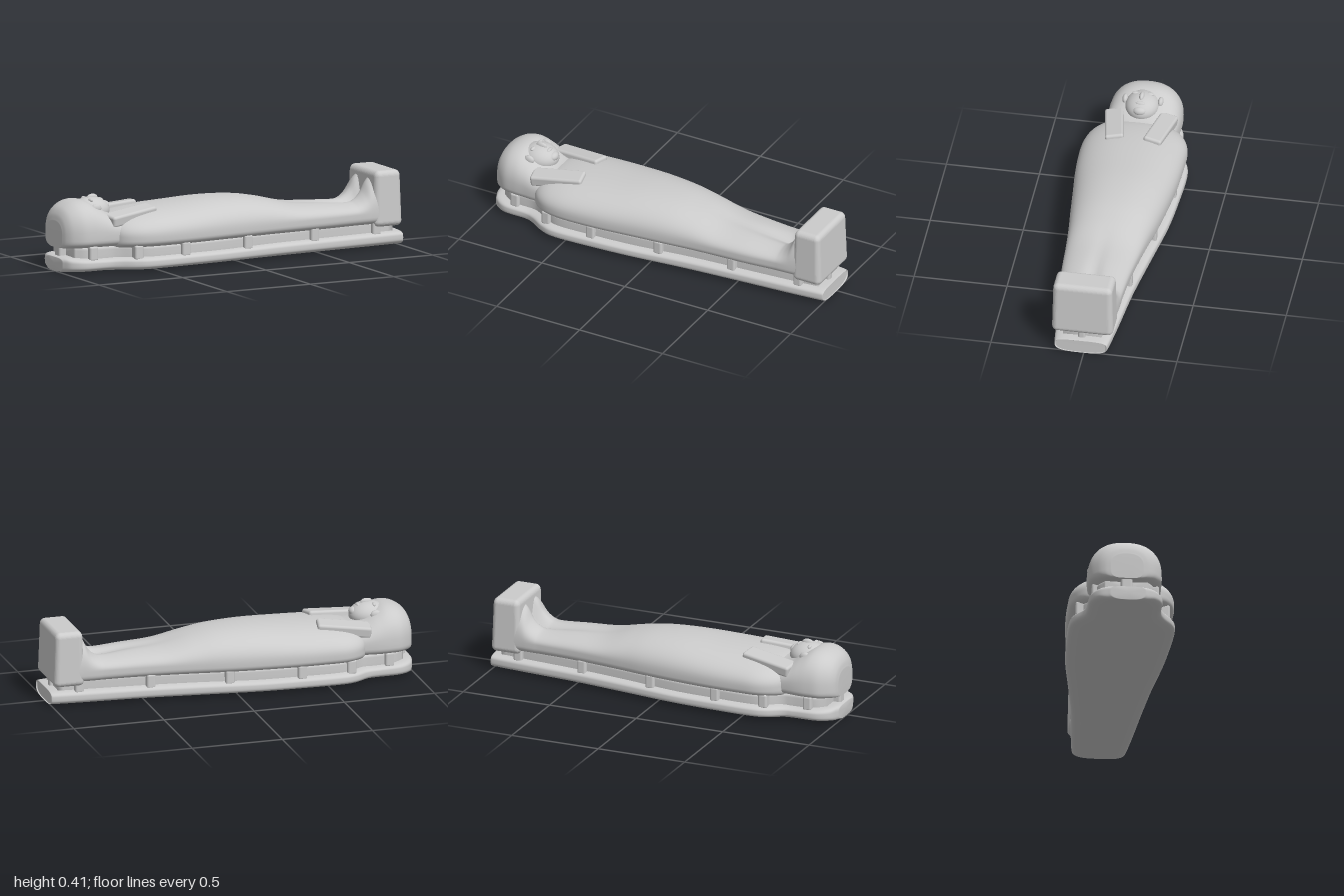
import * as THREE from 'three';
import { RoundedBoxGeometry } from 'three/addons/geometries/RoundedBoxGeometry.js';

const material = new THREE.MeshStandardMaterial({ color: 0xcccccc, roughness: 0.8 });

// Section rows: [x, zMin, zMax, yTop, groove depth]
const LID = [
  [-0.73, -0.15, 0.15, 0.25, 0], [-0.7, -0.215, 0.205, 0.275, 0], [-0.65, -0.258, 0.245, 0.295, 0],
  [-0.58, -0.282, 0.27, 0.308, 0], [-0.48, -0.285, 0.28, 0.318, 0], [-0.3, -0.28, 0.273, 0.328, 0],
  [-0.1, -0.262, 0.253, 0.337, 0], [0.08, -0.238, 0.235, 0.33, 0], [0.22, -0.213, 0.22, 0.307, 0],
  [0.38, -0.188, 0.208, 0.27, 0.004], [0.55, -0.168, 0.198, 0.258, 0.012], [0.7, -0.158, 0.183, 0.25, 0.025],
  [0.75, -0.157, 0.18, 0.263, 0.045], [0.79, -0.156, 0.178, 0.305, 0.085], [0.82, -0.154, 0.176, 0.365, 0.12],
  [0.85, -0.152, 0.174, 0.395, 0.1], [0.89, -0.15, 0.172, 0.4, 0.03],
];
const HEAD = [
  [-0.995, -0.1, 0.07, 0.27, 0], [-0.985, -0.135, 0.105, 0.31, 0], [-0.96, -0.168, 0.14, 0.345, 0],
  [-0.91, -0.202, 0.172, 0.372, 0], [-0.85, -0.212, 0.182, 0.376, 0], [-0.79, -0.212, 0.185, 0.35, 0],
  [-0.73, -0.205, 0.188, 0.315, 0], [-0.67, -0.195, 0.185, 0.295, 0], [-0.6, -0.17, 0.165, 0.29, 0],
];
const SLAB = [
  [-1, -0.1, 0.08, 0.078, 0], [-0.97, -0.165, 0.14, 0.085, 0], [-0.9, -0.205, 0.18, 0.085, 0],
  [-0.78, -0.21, 0.185, 0.08, 0], [-0.72, -0.22, 0.205, 0.082, 0], [-0.64, -0.268, 0.255, 0.086, 0],
  [-0.55, -0.285, 0.28, 0.088, 0], [-0.35, -0.28, 0.275, 0.088, 0], [-0.1, -0.263, 0.258, 0.086, 0],
  [0.2, -0.22, 0.225, 0.088, 0], [0.5, -0.178, 0.2, 0.086, 0], [0.8, -0.15, 0.178, 0.085, 0],
  [0.99, -0.128, 0.16, 0.082, 0], [1, -0.115, 0.15, 0.075, 0],
];
// Recessed filling between slab and lid
const CORE = SLAB.slice(1, -1).map(([x, a, b]) => [x * 0.97, a + 0.04, b - 0.04, 0.145, 0]);

// Smooth loft along x through superelliptic sections, closed at both ends
function loft(name, rows, yMid, yBot, nTop, nBot) {
  const sides = new THREE.CatmullRomCurve3(rows.map(r => new THREE.Vector3(r[0], r[1], r[2])), false, 'catmullrom', 0.5);
  const tops = new THREE.CatmullRomCurve3(rows.map(r => new THREE.Vector3(r[0], r[3], r[4])), false, 'catmullrom', 0.5);
  const N = rows.length * 6, M = 64, pos = [], idx = [];
  const pow = (v, n) => Math.sign(v) * Math.pow(Math.abs(v), 2 / n);
  for (let i = -1; i <= N + 1; i++) {
    const t = Math.min(1, Math.max(0, i / N));
    const s = sides.getPoint(t), u = tops.getPoint(t);
    const k = i < 0 || i > N ? 0 : 1;
    const cz = (s.y + s.z) / 2, hw = (s.z - s.y) / 2;
    for (let j = 0; j < M; j++) {
      const a = (j / M) * Math.PI * 2, up = Math.sin(a) >= 0, n = up ? nTop : nBot;
      const dz = hw * pow(Math.cos(a), n);
      let dy = (up ? u.y - yMid : yMid - yBot) * pow(Math.sin(a), n);
      if (up) dy -= Math.max(0, u.z) * Math.exp(-((dz / 0.035) ** 2));
      pos.push(s.x, yMid + k * dy, cz + k * dz);
    }
  }
  for (let i = 0; i < N + 2; i++) for (let j = 0; j < M; j++) {
    const a = i * M + j, b = i * M + (j + 1) % M;
    idx.push(a, a + M, b, b, a + M, b + M);
  }
  const g = new THREE.BufferGeometry();
  g.setAttribute('position', new THREE.Float32BufferAttribute(pos, 3));
  g.setIndex(idx);
  g.computeVertexNormals();
  return mesh(name, g);
}

function mesh(name, geometry, x = 0, y = 0, z = 0) {
  const m = new THREE.Mesh(geometry, material);
  m.name = name;
  m.position.set(x, y, z);
  return m;
}

function ellipsoid(name, x, y, z, rx, ry, rz) {
  const m = mesh(name, new THREE.SphereGeometry(1, 32, 20), x, y, z);
  m.scale.set(rx, ry, rz);
  return m;
}

// Linear width of a section table at x
function edges(rows, x) {
  const i = Math.max(1, rows.findIndex(r => r[0] >= x));
  const a = rows[i - 1], b = rows[i], t = (x - a[0]) / (b[0] - a[0]);
  return [1, 2].map(c => a[c] + (b[c] - a[c]) * t);
}

export function createModel() {
  const model = new THREE.Group();
  model.name = 'mummyCoffin';

  // Base, recessed joint, body lid and wigged head
  model.add(
    loft('baseSlab', SLAB, 0.045, 0.003, 4, 3),
    loft('jointCore', CORE, 0.09, 0.06, 8, 8),
    loft('bodyLid', LID, 0.19, 0.122, 2.2, 4),
    loft('wiggedHead', HEAD, 0.2, 0.13, 2.4, 4),
  );

  // Pegs bridging the joint on both sides and at both ends
  const pegs = new THREE.Group();
  pegs.name = 'jointPegs';
  for (const x of [-0.85, -0.62, -0.345, 0.045, 0.465, 0.85]) {
    const [a, b] = edges(SLAB, x);
    pegs.add(mesh('peg', new RoundedBoxGeometry(0.05, 0.08, b - a - 0.03, 3, 0.012), x, 0.107, (a + b) / 2));
  }
  pegs.add(mesh('footPeg', new RoundedBoxGeometry(0.1, 0.08, 0.04, 3, 0.012), 0.93, 0.107, 0.017));
  pegs.add(mesh('headPeg', new RoundedBoxGeometry(0.1, 0.08, 0.06, 3, 0.012), -0.93, 0.107, -0.015));
  model.add(pegs);

  // Upright foot block, tapering slightly towards its top
  const block = new RoundedBoxGeometry(0.17, 0.3, 0.33, 5, 0.03);
  const p = block.attributes.position;
  for (let i = 0; i < p.count; i++) {
    const h = p.getY(i) / 0.3 + 0.5;
    p.setX(i, p.getX(i) * (1 - 0.12 * h));
    p.setZ(i, p.getZ(i) * (1 - 0.04 * h));
  }
  block.computeVertexNormals();
  model.add(mesh('footBlock', block, 0.912, 0.263, 0.012));

  // Face looking upwards
  const face = new THREE.Group();
  face.name = 'face';
  face.add(
    ellipsoid('faceOval', -0.785, 0.313, -0.005, 0.105, 0.072, 0.092),
    ellipsoid('nose', -0.775, 0.38, -0.003, 0.032, 0.02, 0.014),
    ellipsoid('lips', -0.728, 0.367, -0.003, 0.011, 0.01, 0.026),
    ellipsoid('chin', -0.703, 0.335, -0.003, 0.025, 0.024, 0.035),
  );
  for (const s of [-1, 1]) {
    face.add(ellipsoid('eye', -0.805, 0.373, -0.003 + s * 0.038, 0.011, 0.01, 0.022));
    face.add(ellipsoid('ear', -0.8, 0.335, -0.005 + s * 0.095, 0.03, 0.025, 0.016));
  }
  model.add(face);

  // Wig lappets lying on the chest
  for (const s of [-1, 1]) {
    const lappet = mesh('wigLappet', new RoundedBoxGeometry(0.29, 0.06, 0.1, 4, 0.014), -0.61, 0.288, s * 0.123 - 0.008);
    lappet.rotation.set(s * 0.12, s * 0.17, 0.11, 'YZX');
    model.add(lappet);
  }
  return model;
}
